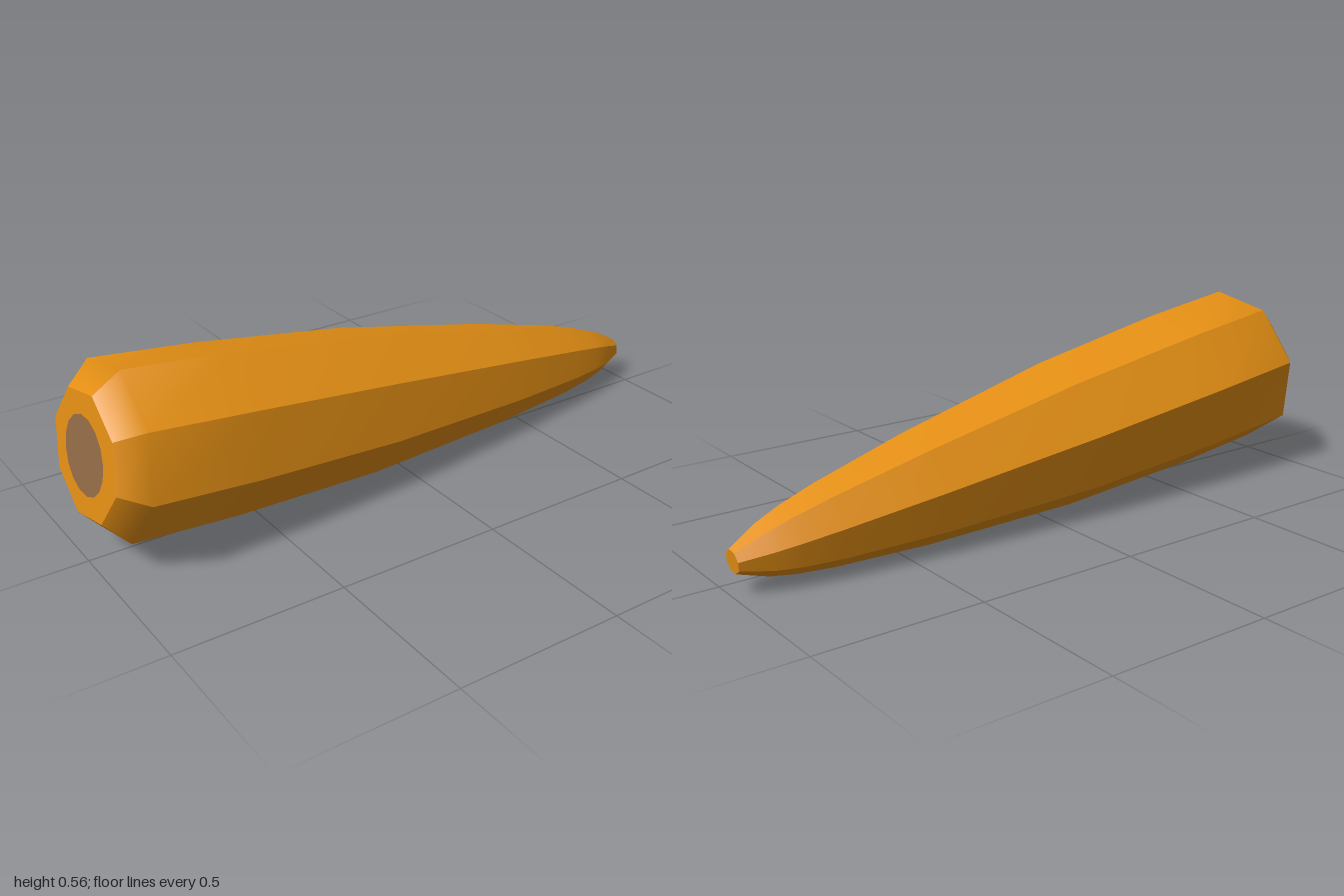
import * as THREE from 'three';

const SIDES = 8;
const START = THREE.MathUtils.degToRad(33);

// [distance along the axis, radius] from the blunt end to the tip
const PROFILE = [
  [-0.07, 0.187], [0, 0.254], [0.33, 0.25], [0.815, 0.225], [1.34, 0.166],
  [1.49, 0.143], [1.64, 0.12], [1.755, 0.096], [1.83, 0.074], [1.916, 0.035],
];

// Eight long strips: smooth along the length, hard edges between sides
function bodyGeometry() {
  const positions = [], index = [];
  for (let s = 0; s < SIDES; s++) {
    const first = positions.length / 3;
    for (const [a, r] of PROFILE) {
      for (const k of [s, s + 1]) {
        const t = START + (k / SIDES) * Math.PI * 2;
        positions.push(a, r * Math.sin(t), r * Math.cos(t));
      }
    }
    for (let i = 0; i < PROFILE.length - 1; i++) {
      const p = first + i * 2;
      index.push(p, p + 2, p + 3, p, p + 3, p + 1);
    }
  }
  const g = new THREE.BufferGeometry();
  g.setAttribute('position', new THREE.Float32BufferAttribute(positions, 3));
  g.setIndex(index);
  g.computeVertexNormals();
  return g;
}

// Flat polygon across the axis, facing the tip (dir 1) or the blunt end (dir -1)
function capGeometry(a, r, dir, sides = SIDES) {
  const start = dir > 0 ? Math.PI - START : START;
  return new THREE.CircleGeometry(r, sides, start).rotateY(dir * Math.PI / 2).translate(a, 0, 0);
}

export function createModel() {
  const orange = new THREE.MeshStandardMaterial({ color: 0xe48f14 });
  orange.name = 'orange';
  const brown = new THREE.MeshStandardMaterial({ color: 0x936b45 });
  brown.name = 'stem brown';

  const root = new THREE.Group();
  root.name = 'root';
  const add = (name, geometry, material) => {
    const mesh = new THREE.Mesh(geometry, material);
    mesh.name = name;
    root.add(mesh);
  };

  const [baseA, baseR] = PROFILE[0];
  const [tipA, tipR] = PROFILE[PROFILE.length - 1];
  add('body', bodyGeometry(), orange);
  add('tip', capGeometry(tipA, tipR, 1), orange);
  add('crown', capGeometry(baseA, baseR, -1), orange);
  add('stemSpot', capGeometry(baseA - 0.002, 0.113, -1, 16), brown);

  // Lay the axis down with a slight slope and turn
  const axis = new THREE.Vector3(1.902, -0.218, -0.08).normalize();
  root.quaternion.setFromUnitVectors(new THREE.Vector3(1, 0, 0), axis);
  root.position.set(-0.91, 0.318, 0.002);

  const model = new THREE.Group();
  model.name = 'carrot';
  model.add(root);
  return model;
}
